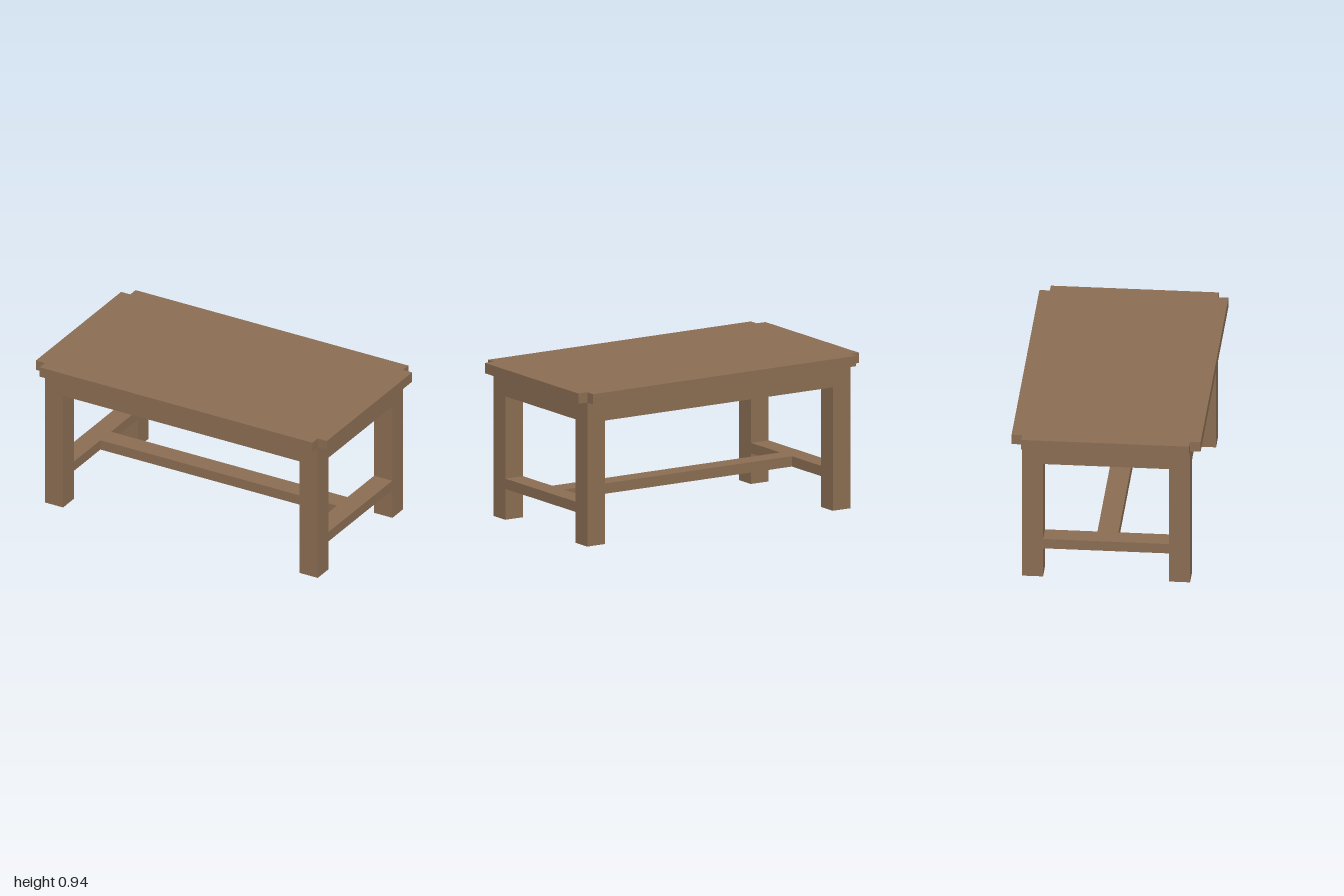
import * as THREE from 'three';

export function createModel() {
  const table = new THREE.Group();
  table.name = 'table';
  const wood = new THREE.MeshStandardMaterial({ color: 0x8a6d52 });
  wood.name = 'brown wood';

  const U = 1 / 16; // board thickness

  function box(name, w, h, d, x, y, z) {
    const mesh = new THREE.Mesh(new THREE.BoxGeometry(w, h, d), wood);
    mesh.name = name;
    mesh.position.set(x, y, z);
    table.add(mesh);
  }

  // Tabletop: a slab with square notches at the corners
  const outline = [
    [-1, -8 * U], [-15 * U, -8 * U], [-15 * U, -9 * U], [15 * U, -9 * U],
    [15 * U, -8 * U], [1, -8 * U], [1, 8 * U], [15 * U, 8 * U],
    [15 * U, 9 * U], [-15 * U, 9 * U], [-15 * U, 8 * U], [-1, 8 * U],
  ].map(([x, z]) => new THREE.Vector2(x, z));
  const slab = new THREE.ExtrudeGeometry(new THREE.Shape(outline), { depth: U, bevelEnabled: false });
  slab.rotateX(-Math.PI / 2);
  const top = new THREE.Mesh(slab, wood);
  top.name = 'tabletop';
  top.position.y = 14 * U;
  table.add(top);

  for (const s of [-1, 1]) {
    const side = s > 0 ? 'left' : 'right';
    const end = s > 0 ? 'front' : 'back';

    // Corner legs
    for (const t of [-1, 1]) {
      box(`${t > 0 ? 'front' : 'back'}${side === 'left' ? 'Left' : 'Right'}Leg`,
        2 * U, 14 * U, 2 * U, s * 14 * U, 7 * U, t * 7 * U);
    }

    // Aprons flush with the outside of the legs
    box(`${end}Apron`, 26 * U, 2 * U, U, 0, 13 * U, s * 7.5 * U);
    box(`${side}Apron`, U, 2 * U, 12 * U, s * 14.5 * U, 13 * U, 0);

    // Side stretchers between the legs
    box(`${side}Stretcher`, 2 * U, U, 12 * U, s * 14 * U, 3.5 * U, 0);
  }

  // Long stretcher joining the two sides
  box('centreStretcher', 26 * U, U, 2 * U, 0, 3.5 * U, 0);

  return table;
}
